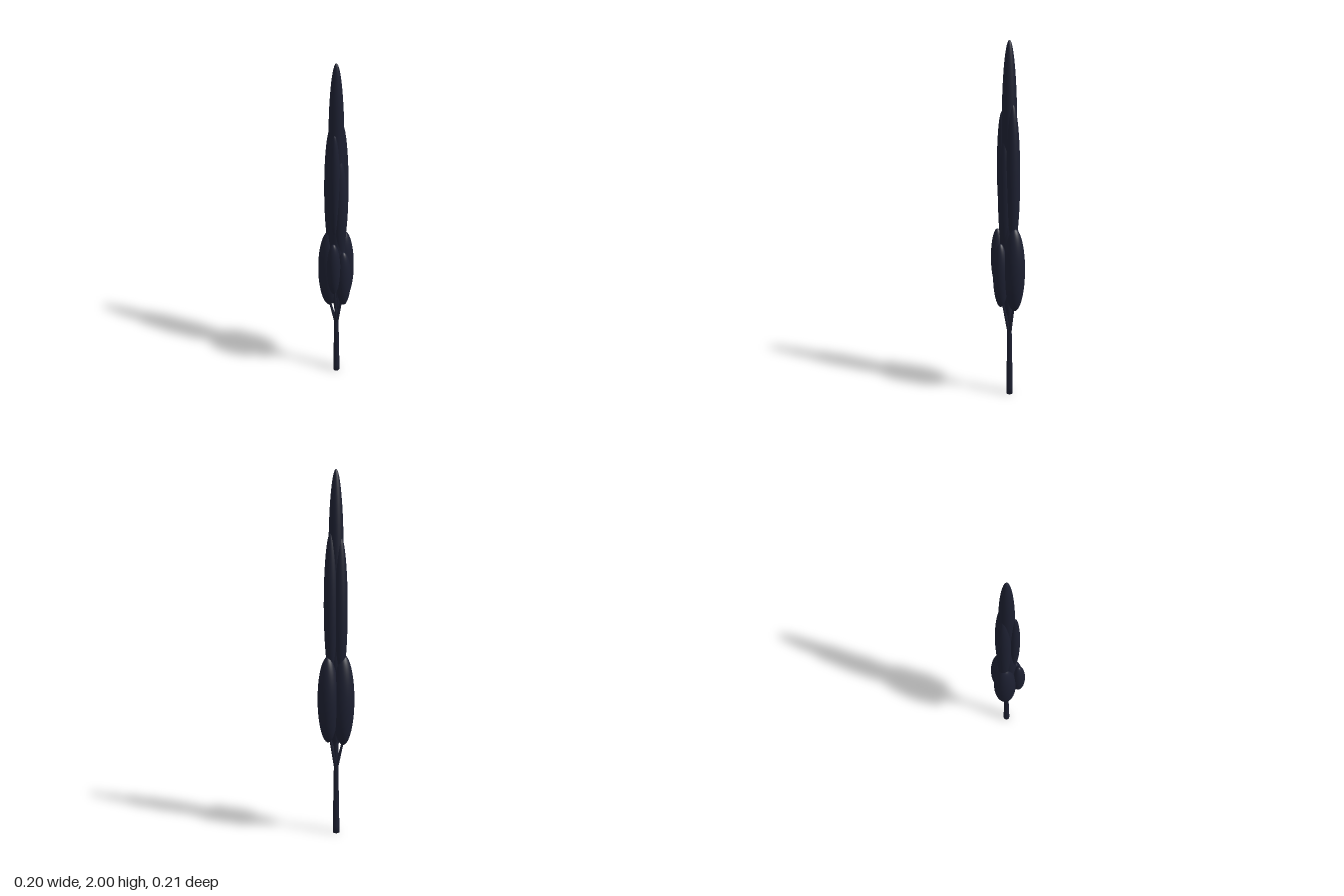
import * as THREE from 'three';

const material = new THREE.MeshStandardMaterial({ color: 0x1c1f30 });

function add(parent, name, geometry) {
  const mesh = new THREE.Mesh(geometry, material);
  mesh.name = name;
  parent.add(mesh);
  return mesh;
}

// Tapered limb between two points
function limb(parent, name, a, b, r0, r1) {
  const from = new THREE.Vector3(...a), dir = new THREE.Vector3(...b).sub(from);
  const mesh = add(parent, name, new THREE.CylinderGeometry(r1, r0, dir.length(), 12));
  mesh.position.copy(from).addScaledVector(dir, 0.5);
  mesh.quaternion.setFromUnitVectors(new THREE.Vector3(0, 1, 0), dir.normalize());
}

export function createModel() {
  const tree = new THREE.Group();
  tree.name = 'tree';

  // Trunk with a slightly flared foot
  const profile = [[0, 0], [0.019, 0], [0.019, 0.04], [0.016, 0.2], [0.013, 0.38], [0.01, 0.7], [0, 0.7]];
  add(tree, 'trunk', new THREE.LatheGeometry(profile.map(p => new THREE.Vector2(...p)), 16));

  // Foliage lobes: name, x, z, radius, bottom, top
  const lobes = [
    ['crownTop', 0, 0, 0.04, 1.1, 2.0],
    ['crownCore', 0.005, 0.005, 0.045, 0.49, 1.45],
    ['upperLobeRight', -0.029, 0, 0.038, 0.88, 1.66],
    ['upperLobeLeft', 0.024, 0.01, 0.039, 0.85, 1.5],
    ['upperLobeBack', 0.012, -0.031, 0.038, 0.9, 1.68],
    ['upperLobeFront', 0.011, 0.039, 0.028, 1.03, 1.64],
    ['lowerLobeRight', -0.038, 0.012, 0.062, 0.52, 1.03],
    ['lowerLobeLeft', 0.055, 0.02, 0.042, 0.56, 0.93],
    ['lowerLobeBack', 0.02, -0.048, 0.057, 0.54, 1.02],
    ['lowerLobeFront', 0.019, 0.066, 0.037, 0.66, 1.0],
  ];
  const foliage = new THREE.Group();
  foliage.name = 'foliage';
  tree.add(foliage);
  for (const [name, x, z, r, bottom, top] of lobes) {
    const lobe = add(foliage, name, new THREE.SphereGeometry(1, 32, 24));
    lobe.scale.set(r, (top - bottom) / 2, r);
    lobe.position.set(x, (top + bottom) / 2, z);
  }

  // Branches fanning out from the fork into the lower lobes
  const tips = [[-0.045, 0.57, 0.012], [0.048, 0.62, 0.02], [0.016, 0.6, -0.045], [0.015, 0.72, 0.05]];
  tips.forEach((tip, i) => limb(tree, `branch${i + 1}`, [0, 0.375, 0], tip, 0.01, 0.005));

  return tree;
}
